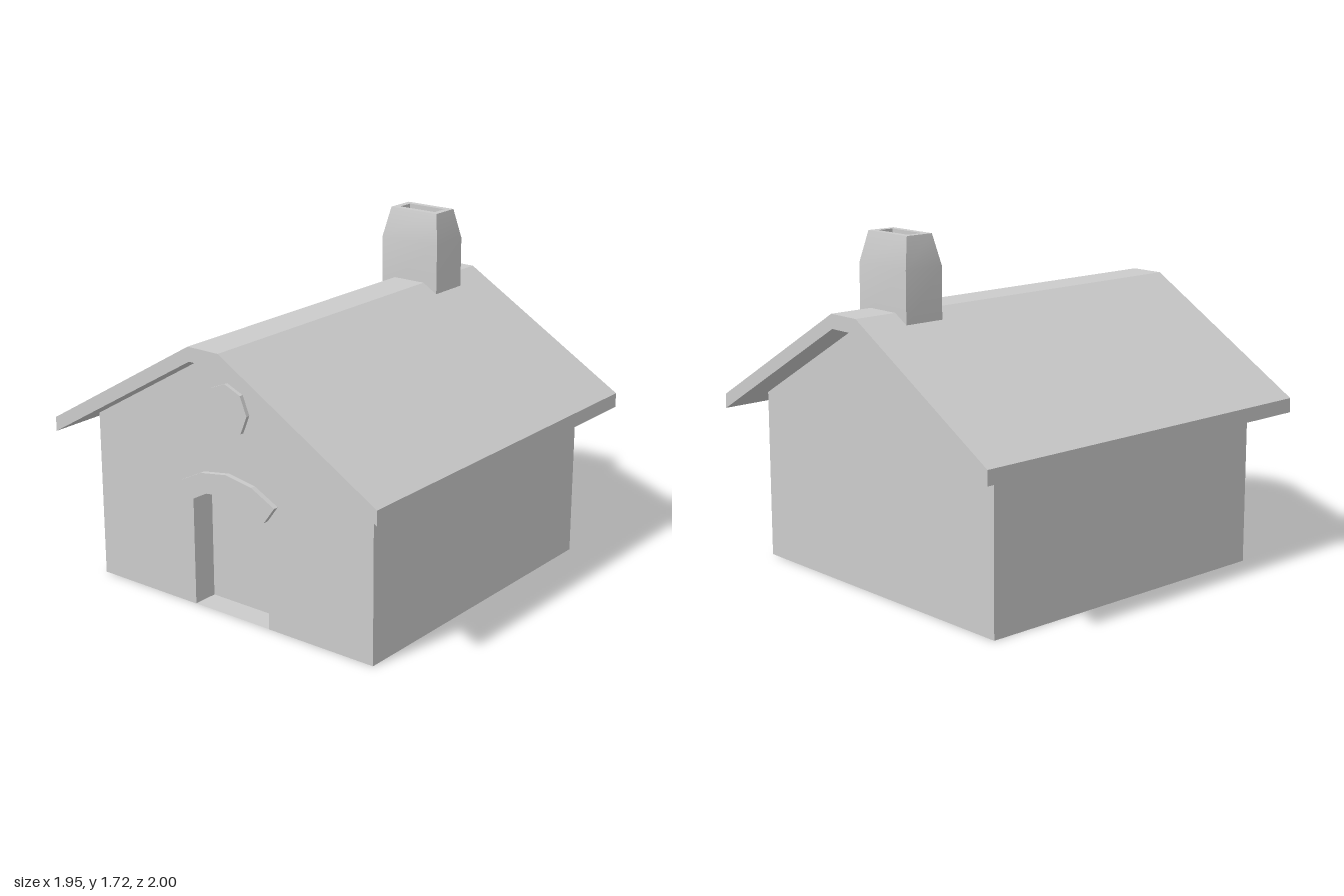
import * as THREE from 'three';

const material = new THREE.MeshStandardMaterial({ color: 0xcccccc });
const thin = new THREE.MeshStandardMaterial({ color: 0xcccccc, side: THREE.DoubleSide });

const W = 0.84; // half width and half depth of the walls
const EAVE = 0.845, RIDGE = 1.29, RIDGE_X = 0.085;
const doorArch = [[0.23, 0.545], [0.125, 0.603], [0, 0.62], [-0.125, 0.603], [-0.23, 0.545]];

const shapeOf = (pts) => new THREE.Shape(pts.map(([x, y]) => new THREE.Vector2(x, y)));

function add(parent, name, geometry, mat = material) {
  const mesh = new THREE.Mesh(geometry, mat);
  mesh.name = name;
  parent.add(mesh);
  return mesh;
}

function extrude(pts, z0, z1) {
  return new THREE.ExtrudeGeometry(shapeOf(pts), { depth: z1 - z0, bevelEnabled: false }).translate(0, 0, z0);
}

// Surface through rows of 3D points, smooth within the strip
function strip(rows) {
  const n = rows[0].length, index = [];
  for (let r = 0; r < rows.length - 1; r++) {
    for (let i = 0; i < n - 1; i++) {
      const a = r * n + i, b = a + n;
      index.push(a, a + 1, b + 1, a, b + 1, b);
    }
  }
  const g = new THREE.BufferGeometry();
  g.setAttribute('position', new THREE.Float32BufferAttribute(rows.flat(2), 3));
  g.setIndex(index);
  g.computeVertexNormals();
  return g;
}

function buildWalls() {
  const walls = new THREE.Group();
  walls.name = 'walls';
  const gable = [[W, 0], [W, EAVE], [RIDGE_X, RIDGE], [-RIDGE_X, RIDGE], [-W, EAVE], [-W, 0]];
  // Front gable with the doorway cut out of its lower edge
  const front = [...gable, [-0.23, 0], ...[...doorArch].reverse(), [0.23, 0]];
  add(walls, 'frontWall', new THREE.ShapeGeometry(shapeOf(front)).translate(0, 0, W), thin);
  add(walls, 'backWall', new THREE.ShapeGeometry(shapeOf(gable)).rotateY(Math.PI).translate(0, 0, -W), thin);
  for (const s of [-1, 1]) {
    const side = new THREE.PlaneGeometry(2 * W, EAVE).rotateY(s * Math.PI / 2).translate(s * W, EAVE / 2, 0);
    add(walls, s > 0 ? 'leftWall' : 'rightWall', side, thin);
  }
  return walls;
}

function buildDoorway() {
  const doorway = new THREE.Group();
  doorway.name = 'doorway';
  // Block behind the recess, reaching into the hollow house
  add(doorway, 'doorBlock', new THREE.BoxGeometry(0.46, 0.64, 0.4).translate(0, 0.32, 0.51));
  // Jambs and arched soffit, then the threshold, each kept faceted
  const outline = [[0.23, 0], ...doorArch, [-0.23, 0]];
  const rows = [W, 0.71].map((z) => outline.map(([x, y]) => [x, y, z]));
  const reveal = strip(rows).toNonIndexed();
  reveal.computeVertexNormals();
  add(doorway, 'doorReveal', reveal, thin);
  add(doorway, 'threshold', new THREE.PlaneGeometry(0.46, 0.13).rotateX(-Math.PI / 2).translate(0, 0.001, 0.775), thin);
  // Raised arch over the door
  const outer = [[-0.292, 0.63], [-0.155, 0.7], [0, 0.725], [0.155, 0.7], [0.292, 0.63]];
  add(doorway, 'doorArch', extrude([...doorArch, ...outer], W, 0.866));
  return doorway;
}

function buildChimney() {
  const chimney = new THREE.Group();
  chimney.name = 'chimney';
  const ring = (hx, hz, y) => [[-hx, y, hz], [hx, y, hz], [hx, y, -hz], [-hx, y, -hz]];
  const sections = {
    stack: [ring(0.17, 0.107, 1.3), ring(0.17, 0.107, 1.565), ring(0.14, 0.074, 1.715)],
    rim: [ring(0.14, 0.074, 1.715), ring(0.107, 0.042, 1.715)],
    flue: [ring(0.107, 0.042, 1.715), ring(0.107, 0.042, 1.61)],
  };
  // Each side is its own strip, so the corners stay sharp
  for (const [name, rings] of Object.entries(sections)) {
    for (let i = 0; i < 4; i++) {
      add(chimney, name, strip(rings.map((r) => [r[i], r[(i + 1) % 4]])));
    }
  }
  add(chimney, 'flueFloor', new THREE.PlaneGeometry(0.214, 0.084).rotateX(-Math.PI / 2).translate(0, 1.61, 0));
  chimney.position.z = -0.664;
  return chimney;
}

export function createModel() {
  const house = new THREE.Group();
  house.name = 'house';
  house.add(buildWalls(), buildDoorway(), buildChimney());
  // Bent roof slab with a narrow flat ridge
  const roof = [
    [0.977, 0.765], [0.977, 0.837], [0.09, 1.36], [-0.09, 1.36], [-0.977, 0.837],
    [-0.977, 0.765], [-RIDGE_X, RIDGE], [RIDGE_X, RIDGE],
  ];
  add(house, 'roof', extrude(roof, -1, 1));
  // Shallow eight-sided gable window
  const window8 = new THREE.CylinderGeometry(0.13, 0.13, 0.03, 8).rotateX(Math.PI / 2).toNonIndexed();
  window8.computeVertexNormals();
  add(house, 'gableWindow', window8.translate(0, 1.035, W + 0.005));
  return house;
}
